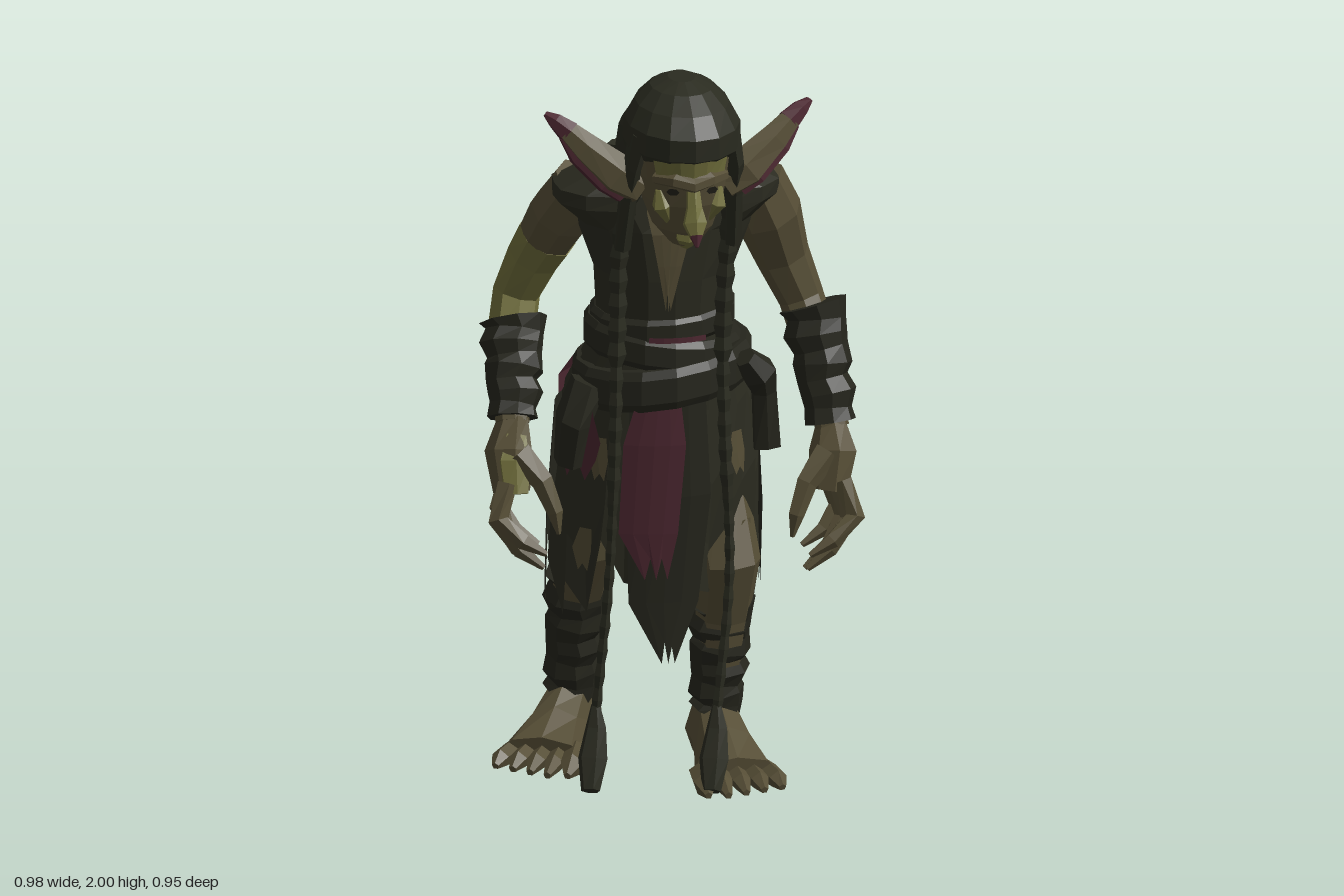
import * as THREE from 'three';

const mat = (name, color) => {
  const m = new THREE.MeshStandardMaterial({ color, side: THREE.DoubleSide });
  m.name = name;
  return m;
};
const V = (x, y, z) => new THREE.Vector3(x, y, z);
const UP = V(0, 1, 0);

// Flat-shaded surface through rows of points; closed rows wrap round and get end caps
function grid(rows, closed = true, caps = closed) {
  const out = [], n = rows[0].length, tri = (...p) => p.forEach((v) => out.push(v.x, v.y, v.z));
  for (let i = 0; i < rows.length - 1; i++) {
    for (let j = 0; j < (closed ? n : n - 1); j++) {
      const k = (j + 1) % n, a = rows[i][j], b = rows[i][k], c = rows[i + 1][k], d = rows[i + 1][j];
      tri(a, b, c);
      tri(a, c, d);
    }
  }
  if (caps) [rows[0], rows[rows.length - 1]].forEach((r, end) => {
    const mid = r.reduce((s, p) => s.add(p), V(0, 0, 0)).divideScalar(n);
    r.forEach((p, j) => (end ? tri(mid, p, r[(j + 1) % n]) : tri(mid, r[(j + 1) % n], p)));
  });
  const g = new THREE.BufferGeometry();
  g.setAttribute('position', new THREE.Float32BufferAttribute(out, 3));
  g.computeVertexNormals();
  return g;
}

// Tapered limb through points [x, y, z, radius, secondRadius]
function limb(pts, sides = 7, ref = V(0, 0, 1), floor = -1) {
  const c = pts.map((p) => V(p[0], p[1], p[2]));
  return grid(pts.map((p, i) => {
    const t = c[Math.min(i + 1, c.length - 1)].clone().sub(c[Math.max(i - 1, 0)]).normalize();
    const n1 = ref.clone().addScaledVector(t, -ref.dot(t)).normalize(), n2 = t.clone().cross(n1);
    return Array.from({ length: sides }, (_, j) => {
      const a = (j / sides) * Math.PI * 2;
      const v = c[i].clone().addScaledVector(n1, Math.cos(a) * p[3]).addScaledVector(n2, Math.sin(a) * (p[4] ?? p[3]));
      v.y = Math.max(v.y, floor);
      return v;
    });
  }));
}

// Point on a body given as rows [y, centreX, centreZ, radiusX, radiusZ, squareness]; angle 0 is the front
function surf(table, y, a, off = 0) {
  let i = 0;
  while (i < table.length - 2 && y > table[i + 1][0]) i++;
  const p = table[i], q = table[i + 1], t = THREE.MathUtils.clamp((y - p[0]) / (q[0] - p[0]), 0, 1);
  const [cx, cz, rx, rz, sq] = [1, 2, 3, 4, 5].map((k) => (p[k] ?? 0) + ((q[k] ?? 0) - (p[k] ?? 0)) * t);
  const f = 1 + sq * Math.sin(2 * a) ** 2;
  return V(cx + Math.sin(a) * (rx * f + off), y, cz + Math.cos(a) * (rz * f + off));
}
const body = (table, n) => grid(table.map((r) => Array.from({ length: n }, (_, j) => surf(table, r[0], (j / n) * Math.PI * 2))));
// Thin cloth lying on a body: rows [y, startAngle, endAngle] from the bottom up, with a notched hem
const patch = (table, rows, off, n = 6, notch = 0.06) => grid(rows.map(([y, a, b]) =>
  Array.from({ length: n + 1 }, (_, j) => surf(table, y + (y === rows[0][0] ? (j % 2) * notch : 0), a + ((b - a) * j) / n, off))), false);

// Wrapped strips round a limb: alternating thick and thin rings
function wrapping(a, b, r0, r1, n = 9) {
  return limb(Array.from({ length: n }, (_, i) => {
    const t = i / (n - 1), r = (r0 + (r1 - r0) * t) * (i % 2 ? 0.91 : 1.03);
    return [0, 1, 2].map((k) => a[k] + (b[k] - a[k]) * t + (k === 0 ? Math.sin(i * 2.3) * 0.006 : 0)).concat(r);
  }), 8);
}

export function createModel() {
  const model = new THREE.Group();
  const skin = mat('olive skin', 0x564e36), pale = mat('yellow green skin', 0x716f3c);
  const cloth = mat('dark cloth', 0x2c2c21), wrap = mat('dark wrapping', 0x26261d);
  const hairMat = mat('dark hair', 0x2a2b20), red = mat('maroon cloth', 0x4c2730), black = mat('eye dark', 0x1a1812);
  const add = (name, geo, m, parent = model) => {
    const o = new THREE.Mesh(geo, m);
    o.name = name;
    parent.add(o);
    return o;
  };

  // Vest sloping out into wide square shoulders
  const vest = [[1.08, -0.01, -0.09, 0.2, 0.19], [1.25, -0.01, -0.08, 0.175, 0.185], [1.4, -0.01, -0.065, 0.185, 0.195],
    [1.54, -0.01, -0.055, 0.235, 0.2, 0.03], [1.6, -0.01, -0.05, 0.295, 0.185, 0.12], [1.64, -0.01, -0.035, 0.295, 0.17, 0.12],
    [1.68, -0.01, -0.01, 0.225, 0.135, 0.1], [1.72, -0.01, 0.025, 0.13, 0.09], [1.75, -0.01, 0.05, 0.07, 0.06]];
  add('vest', body(vest, 16), cloth);
  add('bareChest', patch(vest, [[1.32, -0.14, -0.08], [1.45, -0.24, 0.06], [1.54, -0.28, 0.14], [1.6, -0.26, 0.2], [1.64, -0.25, 0.2], [1.68, -0.25, 0.2]], 0.009, 4), skin);
  add('neck', limb([[-0.01, 1.56, 0.02, 0.09], [-0.01, 1.65, 0.12, 0.08], [-0.01, 1.74, 0.2, 0.08]], 8), skin);

  // Belt wraps
  for (const [y, h, tilt, grow] of [[1.26, 0.035, 0.012, 0.004], [1.19, 0.045, -0.025, 0.012], [1.11, 0.055, 0.03, 0.03]]) {
    add('beltWrap', grid([[-1, 0], [-0.6, 1], [0.6, 1], [1, 0]].map(([k, o]) => Array.from({ length: 16 }, (_, j) => {
      const a = (j / 16) * Math.PI * 2, v = surf(vest, y, a, o * 0.012 + grow);
      v.y = y + k * h + Math.sin(a) * tilt;
      return v;
    }))), wrap);
  }
  add('beltStripe', patch(vest, [[1.235, -0.35, 0.4], [1.25, -0.35, 0.4]], 0.03, 4, 0), red);
  add('sashKnot', limb([[0.18, 1.17, 0.08, 0.03], [0.22, 1.12, 0.06, 0.05], [0.24, 1.06, 0.03, 0.035], [0.25, 0.9, 0.02, 0.02, 0.04]], 6), wrap);
  add('hipPouch', limb([[-0.22, 1.1, 0, 0.05], [-0.26, 1, 0, 0.09, 0.045], [-0.27, 0.88, -0.01, 0.06, 0.04]], 6), wrap);

  // Ragged skirt, a little higher over the thighs
  const skirt = [[0.3, -0.01, -0.17, 0.27, 0.2], [0.62, -0.02, -0.165, 0.27, 0.22], [0.85, -0.01, -0.135, 0.26, 0.225],
    [1.05, -0.02, -0.12, 0.245, 0.215], [1.2, -0.01, -0.08, 0.185, 0.19]];
  add('skirt', grid([0, 0.2, 0.45, 0.75, 1].map((u) => Array.from({ length: 28 }, (_, j) => {
    const a = (j / 28) * Math.PI * 2, f = Math.min(a, Math.PI * 2 - a);
    const hem = (f > 0.35 && f < 0.8 ? 0.58 : 0.5) + (j % 2 ? 0.06 : -0.05) + Math.sin(j * 5.1) * 0.03;
    return surf(skirt, hem + (1.2 - hem) * u, a, j % 2 ? 0.01 * (1 - u) : -0.012 * (1 - u));
  })), true, false), cloth);
  add('frontFlap', patch(skirt, [[0.33, -0.08, 0.04], [0.5, -0.38, 0.28], [0.8, -0.45, 0.38], [1.08, -0.45, 0.38]], 0.014, 4), wrap);
  add('frontTabard', patch(skirt, [[0.57, -0.22, -0.02], [0.7, -0.48, 0.06], [0.95, -0.48, 0.12], [1.08, -0.36, 0.08]], 0.026, 4), red);
  add('hipRag', patch(skirt, [[0.84, -1.1, -0.75], [0.95, -1.3, -0.7], [1.04, -1.25, -0.8]], 0.035, 3), red);
  add('backSash', patch(skirt, [[0.57, 3.25, 3.75], [0.75, 2.95, 4.05], [0.92, 2.6, 4.2], [1.05, 2.35, 4.25], [1.12, 2.5, 4.0]], 0.022, 8, 0.1), red);
  for (const [a, low] of [[1.7, 0.46], [4.5, 0.43], [2.8, 0.46], [2.3, 0.5], [4.25, 0.55]]) {
    add('raggedStrip', patch(skirt, [[low, a, a + 0.06], [0.7, a - 0.15, a + 0.18], [1, a - 0.12, a + 0.14]], 0.018, 2), wrap);
  }
  // Tears that show the thigh
  for (const [a, y] of [[-0.75, 0.9], [0.72, 0.9], [-0.85, 0.64], [0.85, 0.64]]) {
    add('skirtTear', patch(skirt, [[y - 0.06, a - 0.05, a + 0.06], [y, a - 0.13, a + 0.1], [y + 0.06, a - 0.06, a + 0.08]], 0.018, 2, 0.02), skin);
  }

  // Head
  const head = new THREE.Group();
  head.name = 'head';
  head.position.x = -0.015;
  model.add(head);
  const face = [[1.565, 0, 0.27, 0.04, 0.06], [1.61, 0, 0.245, 0.08, 0.115], [1.69, 0, 0.23, 0.11, 0.165],
    [1.75, 0, 0.22, 0.122, 0.19], [1.85, 0, 0.225, 0.132, 0.21]];
  add('face', body(face, 12), skin, head);
  add('forehead', patch(face, [[1.76, -0.75, 0.75], [1.84, -0.85, 0.85]], 0.005, 6, 0.012), pale, head);
  add('brow', limb([[-0.09, 1.765, 0.355, 0.016], [-0.045, 1.772, 0.41, 0.02], [0, 1.76, 0.425, 0.02], [0.045, 1.772, 0.41, 0.02], [0.09, 1.765, 0.355, 0.016]], 6, UP), skin, head);
  add('nose', limb([[0, 1.77, 0.4, 0.016], [0, 1.7, 0.425, 0.026, 0.022], [0, 1.66, 0.435, 0.032, 0.034], [0, 1.63, 0.455, 0.018]], 6), pale, head);
  add('noseTip', limb([[0, 1.632, 0.454, 0.019], [0, 1.605, 0.468, 0.004]], 6), red, head);
  add('chin', limb([[0, 1.565, 0.3, 0.02], [0, 1.595, 0.325, 0.032, 0.038], [0, 1.63, 0.33, 0.025, 0.045]], 7), pale, head);
  add('mouth', limb([[-0.06, 1.64, 0.33, 0.005], [0, 1.648, 0.374, 0.006], [0.06, 1.64, 0.33, 0.005]], 4, UP), black, head);
  for (const s of [-1, 1]) {
    add('cheek', limb([[s * 0.05, 1.64, 0.33, 0.012], [s * 0.07, 1.69, 0.35, 0.03], [s * 0.078, 1.73, 0.345, 0.012]], 6), pale, head);
    const eye = add('eye', new THREE.CircleGeometry(0.018, 6), black, head);
    eye.position.set(s * 0.052, 1.738, 0.4);
    eye.scale.y = 0.55;
    eye.rotation.y = s * 0.4;
    // Long ear, maroon at the blunt tip and in the hollow facing out and down
    add('ear', limb([[s * 0.11, 1.7, 0.24, 0.045, 0.045], [s * 0.17, 1.74, 0.235, 0.058, 0.052], [s * 0.25, 1.81, 0.21, 0.043, 0.04], [s * 0.295, 1.855, 0.195, 0.03, 0.031]], 6, UP), skin, head);
    add('earTip', limb([[s * 0.29, 1.85, 0.196, 0.033, 0.033], [s * 0.325, 1.88, 0.182, 0.022, 0.026], [s * 0.35, 1.898, 0.172, 0.006, 0.014]], 6, UP), red, head);
    add('innerEar', limb([[s * 0.155, 1.68, 0.232, 0.02, 0.026], [s * 0.195, 1.72, 0.225, 0.034, 0.04], [s * 0.266, 1.79, 0.205, 0.03, 0.034], [s * 0.3, 1.842, 0.192, 0.02, 0.026]], 6, UP), red, head);
  }

  // Hair: cap, back curtain with ragged locks, side locks and two long braids
  add('hairCap', body([[1.8, 0, 0.2, 0.142, 0.19], [1.83, 0, 0.23, 0.152, 0.218], [1.89, 0, 0.245, 0.15, 0.208],
    [1.94, 0, 0.24, 0.123, 0.165], [1.98, 0, 0.235, 0.083, 0.11], [2, 0, 0.23, 0.035, 0.055]], 14), hairMat, head);
  add('backHair', body([[1.68, 0, 0.06, 0.14, 0.095], [1.76, 0, 0.09, 0.152, 0.11], [1.85, 0, 0.14, 0.15, 0.125], [1.93, 0, 0.19, 0.11, 0.115]], 12), hairMat, head);
  for (let i = -3; i <= 3; i++) {
    const a = Math.PI + i * 0.45, x = Math.sin(a) * 0.125, z = 0.06 + Math.cos(a) * 0.075;
    add('hairLock', limb([[x, 1.77, z + 0.02, 0.02, 0.05], [x * 1.05, 1.7, z, 0.022, 0.045], [x * 1.1, 1.61 + (i & 1) * 0.03, z - 0.025, 0.004]], 5), hairMat, head);
  }
  for (const s of [-1, 1]) {
    add('sideLock', limb([[s * 0.115, 1.87, 0.28, 0.07, 0.03], [s * 0.135, 1.78, 0.27, 0.05, 0.022], [s * 0.14, 1.68, 0.225, 0.035, 0.024], [s * 0.147, 1.52, 0.175, 0.024]], 6), hairMat, head);
  }
  const braids = [
    [V(-0.14, 1.72, 0.24), V(-0.165, 1.55, 0.17), V(-0.17, 1.3, 0.145), V(-0.175, 1, 0.14), V(-0.185, 0.6, 0.11), V(-0.215, 0.22, 0.08)],
    [V(0.115, 1.72, 0.24), V(0.12, 1.55, 0.17), V(0.11, 1.3, 0.145), V(0.115, 1, 0.14), V(0.13, 0.6, 0.13), V(0.095, 0.22, 0.14)]];
  for (const pts of braids) {
    const path = new THREE.CatmullRomCurve3(pts), N = 44, end = pts[5];
    add('braid', limb(path.getSpacedPoints(N).map((p, i) => [p.x, p.y, p.z, (i % 2 ? 0.02 : 0.015) * (i < 16 ? 1.35 : i > 26 ? 0.75 : 1)]), 5), hairMat);
    add('braidTassel', limb([[end.x, 0.24, end.z, 0.012], [end.x, 0.18, end.z + 0.005, 0.028], [end.x - 0.012, 0.1, end.z + 0.025, 0.04], [end.x - 0.025, 0.025, end.z + 0.065, 0.03, 0.025]], 6), hairMat);
  }

  // Arms, bracers and hands; paler over the bent right elbow
  const arms = [
    { s: -1, arm: [[-0.22, 1.62, -0.08, 0.08], [-0.27, 1.52, -0.14, 0.085], [-0.32, 1.39, -0.22, 0.07], [-0.36, 1.27, -0.27, 0.06], [-0.385, 1.15, -0.23, 0.06], [-0.4, 0.96, -0.12, 0.045]],
      from: [-0.375, 1.2, -0.25], wrist: [-0.395, 0.97, -0.13], palm: [-0.41, 0.79, -0.06] },
    { s: 1, arm: [[0.22, 1.62, -0.03, 0.085], [0.265, 1.52, -0.05, 0.09], [0.31, 1.39, -0.09, 0.072], [0.36, 1.27, -0.09, 0.06], [0.4, 1.13, -0.04, 0.06], [0.42, 0.95, 0.03, 0.045]],
      from: [0.385, 1.26, -0.06], wrist: [0.42, 0.96, 0.02], palm: [0.405, 0.79, 0.07] }];
  add('paleElbow', limb([[-0.295, 1.45, -0.185, 0.08], [-0.324, 1.38, -0.225, 0.073], [-0.362, 1.27, -0.27, 0.064], [-0.38, 1.18, -0.24, 0.064]], 8), pale);
  for (const { s, arm, from, wrist, palm } of arms) {
    add('arm', limb(arm, 8), skin);
    add('bracer', wrapping(from, wrist, 0.088, 0.066, 9), wrap);
    const hand = new THREE.Group();
    hand.name = 'hand';
    model.add(hand);
    const [x, y, z] = palm;
    add('palm', limb([[...wrist, 0.05, 0.04], [(wrist[0] + x) / 2 + s * 0.01, 0.89, (wrist[2] + z) / 2, 0.082, 0.064], [x, y, z, 0.075, 0.05]], 7), skin, hand);
    for (let i = 0; i < 4; i++) {
      const o = (i - 1.5) * 0.034, len = [0.15, 0.2, 0.19, 0.14][i], out = s * i * 0.008;
      add('finger', limb([[x + out, y + 0.04, z + o, 0.028], [x + s * 0.03 + out, y - len * 0.35, z + o * 1.2 + 0.02, 0.027],
        [x - s * 0.01, y - len * 0.75, z + o * 1.25 + 0.04, 0.022], [x - s * 0.07, y - len, z + o * 1.2 + 0.05, 0.008]], 5), skin, hand);
    }
    add('thumb', limb([[x - s * 0.01, y + 0.11, z + 0.02, 0.04], [x - s * 0.07, y + 0.04, z + 0.05, 0.03], [x - s * 0.1, y - 0.04, z + 0.07, 0.022], [x - s * 0.11, y - 0.1, z + 0.07, 0.006]], 5), skin, hand);
  }
  add('paleHandBack', limb([[-0.4, 0.94, -0.07, 0.02, 0.03], [-0.41, 0.88, -0.035, 0.03, 0.045], [-0.41, 0.8, -0.005, 0.02, 0.035]], 6), pale);

  // Legs, shin wrappings and bare feet
  const legs = [
    { leg: [[-0.1, 0.98, -0.14, 0.1], [-0.15, 0.78, -0.14, 0.085], [-0.19, 0.6, -0.17, 0.08], [-0.2, 0.42, -0.28, 0.068], [-0.205, 0.12, -0.36, 0.05]],
      top: [-0.2, 0.5, -0.26], ankle: [-0.205, 0.14, -0.36], turn: -0.48 },
    { leg: [[0.1, 0.98, -0.12, 0.1], [0.13, 0.78, -0.09, 0.085], [0.155, 0.58, -0.02, 0.085], [0.15, 0.42, -0.08, 0.072], [0.14, 0.12, -0.13, 0.05]],
      top: [0.15, 0.45, -0.09], ankle: [0.14, 0.14, -0.13], turn: 0.06 }];
  for (const { leg, top, ankle, turn } of legs) {
    add('leg', limb(leg, 8), skin);
    add('shinWrapping', wrapping(top, ankle, 0.087, 0.069, 11), wrap);
    const foot = new THREE.Group();
    foot.name = 'foot';
    foot.position.set(ankle[0], 0, ankle[2]);
    foot.rotation.y = turn;
    model.add(foot);
    add('footBody', limb([[0, 0.065, -0.105, 0.05, 0.045], [0, 0.075, -0.06, 0.085, 0.068], [0, 0.07, 0.03, 0.11, 0.07], [0, 0.05, 0.12, 0.085, 0.085], [0, 0.035, 0.24, 0.05, 0.115]], 8, UP, 0.012), skin, foot);
    for (let i = -2; i <= 2; i++) {
      const big = i * Math.sign(turn) === -2 ? 1.3 : 1, len = 0.34 - Math.abs(i + Math.sign(turn)) * 0.012;
      add('toe', limb([[i * 0.042, 0.035, 0.21, 0.03 * big], [i * 0.049, 0.032, 0.29, 0.025 * big], [i * 0.051, 0.02, len + 0.02, 0.01]], 5, UP, 0.005), skin, foot);
    }
  }
  return model;
}
